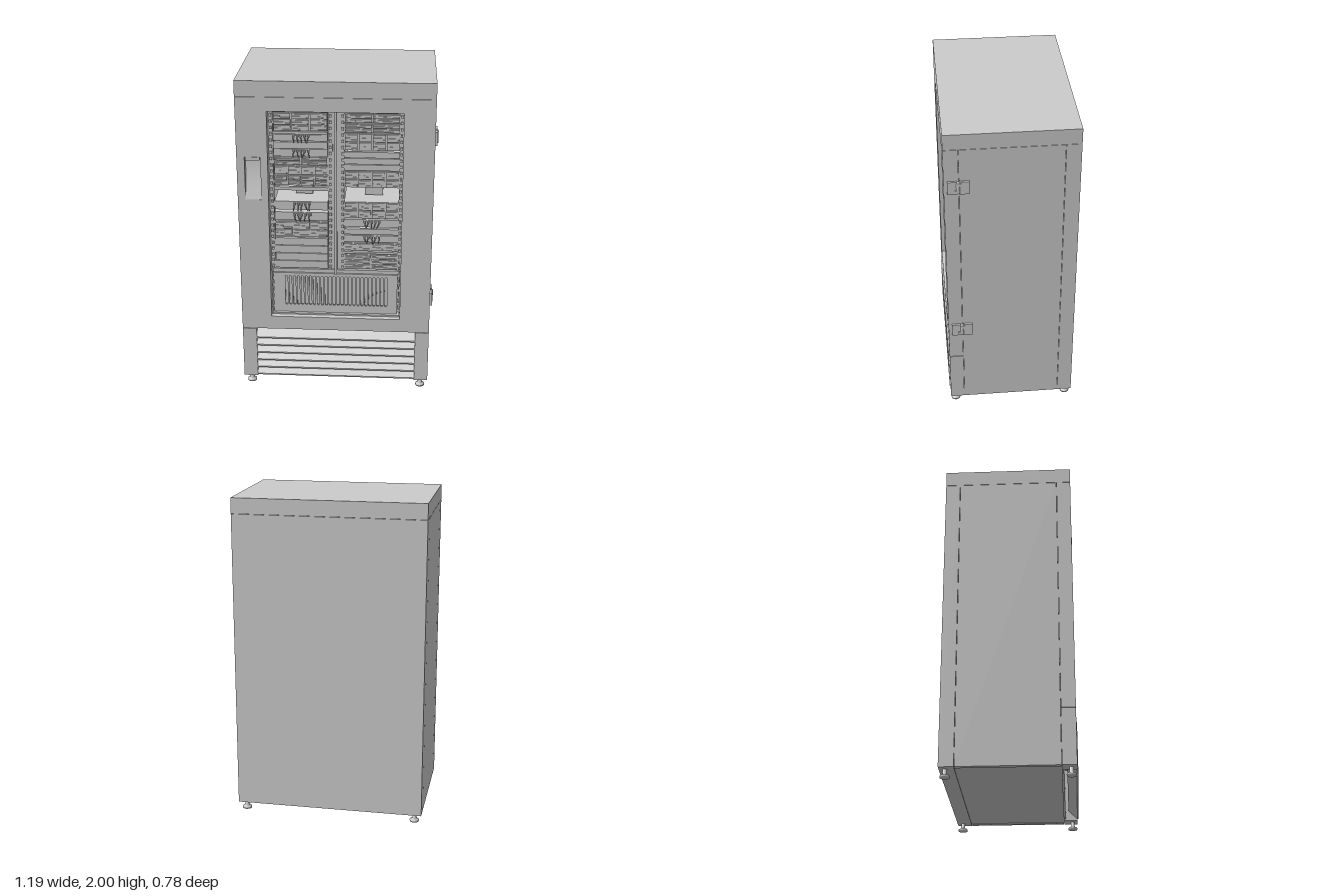
import * as THREE from 'three';

const material = new THREE.MeshStandardMaterial({ color: 0xcccccc, side: THREE.DoubleSide });

function add(parent, name, geometry, x = 0, y = 0, z = 0) {
  const mesh = new THREE.Mesh(geometry, material);
  mesh.name = name;
  mesh.position.set(x, y, z);
  parent.add(mesh);
  return mesh;
}

// Box given by its limits along each axis
function box(parent, name, x0, x1, y0, y1, z0, z1) {
  return add(parent, name, new THREE.BoxGeometry(x1 - x0, y1 - y0, z1 - z0),
    (x0 + x1) / 2, (y0 + y1) / 2, (z0 + z1) / 2);
}

function group(parent, name) {
  const g = new THREE.Group();
  g.name = name;
  parent.add(g);
  return g;
}

function outline(target, x0, x1, y0, y1) {
  target.moveTo(x0, y0);
  target.lineTo(x1, y0);
  target.lineTo(x1, y1);
  target.lineTo(x0, y1);
  target.closePath();
  return target;
}

// Vertical slot with rounded ends
function slot(x, y0, y1, r) {
  const p = new THREE.Path();
  p.absarc(x, y1 - r, r, 0, Math.PI, false);
  p.absarc(x, y0 + r, r, Math.PI, Math.PI * 2, false);
  p.closePath();
  return p;
}

let seed = 7;
function random() {
  seed = (seed * 16807) % 2147483647;
  return seed / 2147483647;
}

const FACE = 0.325; // front plane of the rack units

// Server: chassis with a grid of drive carriers and slim handles
function server(parent, x0, x1, y0, y1, cols, rows) {
  const g = group(parent, 'server');
  box(g, 'chassis', x0, x1, y0, y1, -0.2, FACE - 0.012);
  const w = (x1 - x0) / cols, h = (y1 - y0) / rows;
  for (let c = 0; c < cols; c++) for (let r = 0; r < rows; r++) {
    const a = x0 + c * w + 0.004, b = a + w - 0.008;
    const lo = y0 + r * h + 0.003, hi = lo + h - 0.006;
    box(g, 'driveCarrier', a, b, lo, hi, FACE - 0.012, FACE - 0.004);
    const split = a + (b - a) * (0.25 + random() * 0.5);
    box(g, 'carrierHandle', a + 0.004, split, lo + 0.3 * (hi - lo), lo + 0.55 * (hi - lo), FACE - 0.004, FACE + 0.003);
    box(g, 'carrierTrim', a + 0.004, b - 0.004, hi - 0.005, hi - 0.002, FACE - 0.004, FACE);
    box(g, 'carrierLatch', split + 0.006, b - 0.004, lo + 0.004, lo + 0.3 * (hi - lo), FACE - 0.004, FACE + 0.002);
  }
}

// Stack of plain blanking panels
function blanks(parent, x0, x1, y0, y1, count) {
  const h = (y1 - y0) / count;
  for (let i = 0; i < count; i++)
    box(parent, 'blankPanel', x0, x1, y0 + i * h + 0.002, y0 + (i + 1) * h - 0.002, FACE - 0.02, FACE);
}

// Network switch with a fan of patch cables
function patchSwitch(parent, x0, x1, y0, y1) {
  const g = group(parent, 'networkSwitch');
  const mid = (x0 + x1) / 2, y = (y0 + y1) / 2;
  box(g, 'switchChassis', x0, x1, y0 + 0.003, y1 - 0.003, -0.1, FACE - 0.008);
  box(g, 'portStrip', mid - 0.05, mid + 0.06, y + 0.004, y1 - 0.006, FACE - 0.008, FACE - 0.003);
  for (let i = 0; i < 5; i++) {
    const x = mid - 0.04 + i * 0.022, lean = (random() - 0.5) * 0.035;
    const curve = new THREE.CatmullRomCurve3([
      new THREE.Vector3(x, y + 0.015, FACE - 0.006), new THREE.Vector3(x, y + 0.012, FACE + 0.012),
      new THREE.Vector3(x + lean * 0.6, y - 0.012, FACE + 0.014), new THREE.Vector3(x + lean, y - 0.032, FACE - 0.006)]);
    add(g, 'patchCable', new THREE.TubeGeometry(curve, 10, 0.003, 6));
    box(g, 'cablePlug', x - 0.007, x + 0.007, y + 0.008, y + 0.021, FACE - 0.006, FACE + 0.008);
  }
}

// Mounting rail with cage nuts
function rail(parent, x0, x1) {
  const g = group(parent, 'mountingRail');
  box(g, 'railStrip', x0, x1, 0.78, 1.81, 0.29, FACE - 0.008);
  const m = (x0 + x1) / 2;
  for (let i = 0; i < 26; i++)
    box(g, 'cageNut', m - 0.007, m + 0.007, 0.795 + i * 0.039, 0.811 + i * 0.039, FACE - 0.008, FACE + 0.002);
}

export function createModel() {
  const model = new THREE.Group();
  model.name = 'serverCabinet';

  // Cabinet shell
  const shell = group(model, 'cabinet');
  box(shell, 'topCap', -0.597, 0.573, 1.905, 2, -0.39, 0.385);
  box(shell, 'backPanel', -0.597, 0.573, 0.05, 1.903, -0.39, -0.302);
  box(shell, 'rightSidePanel', -0.597, -0.567, 0.05, 1.903, -0.3, 0.298);
  box(shell, 'leftSidePanel', 0.543, 0.573, 0.05, 1.903, -0.3, 0.298);
  box(shell, 'basePlate', -0.567, 0.543, 0.055, 0.075, -0.302, 0.3);

  // Door with window opening and handle opening
  const door = group(model, 'door');
  const frame = outline(new THREE.Shape(), -0.597, 0.573, 0.393, 1.903);
  frame.holes.push(outline(new THREE.Path(), -0.412, 0.388, 0.48, 1.818));
  frame.holes.push(outline(new THREE.Path(), -0.55, -0.455, 1.265, 1.535));
  add(door, 'doorFrame', new THREE.ExtrudeGeometry(frame, { depth: 0.085, bevelEnabled: false }), 0, 0, 0.3);

  // Handle scoop: back slopes out toward the bottom
  const scoop = new THREE.PlaneGeometry(0.095, 0.27, 1, 8);
  const p = scoop.attributes.position;
  for (let i = 0; i < p.count; i++) {
    const t = p.getY(i) / 0.27 + 0.5;
    p.setZ(i, -0.055 * Math.sin(t * Math.PI / 2));
  }
  scoop.computeVertexNormals();
  add(door, 'handleScoop', scoop, -0.5025, 1.4, 0.384);
  box(door, 'handleLip', -0.545, -0.46, 1.515, 1.535, 0.365, 0.387);

  // Hinges: two leaves, a knuckle and a pin on the left side
  for (const y of [1.66, 0.617]) {
    const hinge = group(model, 'hinge');
    box(hinge, 'doorLeaf', 0.573, 0.586, y - 0.041, y + 0.041, 0.312, 0.365);
    box(hinge, 'bodyLeaf', 0.573, 0.586, y - 0.041, y + 0.041, 0.24, 0.296);
    add(hinge, 'knuckle', new THREE.CylinderGeometry(0.012, 0.012, 0.07, 16), 0.58, y, 0.304);
    box(hinge, 'upperLug', 0.58, 0.592, y + 0.012, y + 0.034, 0.285, 0.308);
    box(hinge, 'lowerLug', 0.58, 0.592, y - 0.034, y - 0.012, 0.3, 0.325);
  }

  // Rack structure
  const rack = group(model, 'rack');
  box(rack, 'centreMullion', -0.018, -0.004, 0.765, 1.815, 0.28, 0.35);
  box(rack, 'centreChannel', -0.03, 0.022, 0.765, 1.815, 0.27, 0.315);
  box(rack, 'topRail', -0.412, 0.388, 1.795, 1.818, 0.28, 0.32);
  box(rack, 'lowerRail', -0.405, 0.38, 0.762, 0.785, 0.28, 0.325);
  for (const [a, b] of [[-0.412, -0.386], [-0.058, -0.03], [0.018, 0.04], [0.367, 0.388]]) rail(rack, a, b);

  // Left-hand stack: [type, bottom, top, columns, rows]
  const stacks = [
    [-0.384, -0.06, [
      ['server', 1.68, 1.79, 3, 3], ['blank', 1.66, 1.68, 1], ['switch', 1.615, 1.66], ['blank', 1.57, 1.615, 1],
      ['switch', 1.52, 1.57], ['server', 1.465, 1.52, 2, 2], ['server', 1.405, 1.46, 4, 1], ['server', 1.335, 1.4, 4, 2],
      ['blank', 1.305, 1.33, 1], ['switch', 1.175, 1.235], ['switch', 1.105, 1.165],
      ['server', 1.0, 1.1, 3, 2], ['blank', 0.79, 0.995, 4]]],
    [0.038, 0.369, [
      ['server', 1.735, 1.79, 2, 2], ['server', 1.675, 1.73, 2, 2], ['server', 1.565, 1.67, 4, 2], ['blank', 1.44, 1.56, 3],
      ['server', 1.33, 1.435, 4, 2], ['server', 1.13, 1.235, 4, 2], ['switch', 1.07, 1.125], ['blank', 1.025, 1.065, 1],
      ['switch', 0.97, 1.02], ['server', 0.915, 0.965, 4, 1], ['blank', 0.895, 0.912, 1], ['server', 0.79, 0.89, 2, 3]]],
  ];
  for (const [x0, x1, units] of stacks) {
    const stack = group(rack, 'equipmentStack');
    for (const [type, y0, y1, cols, rows] of units) {
      if (type === 'server') server(stack, x0, x1, y0, y1, cols, rows);
      else if (type === 'blank') blanks(stack, x0, x1, y0, y1, cols);
      else patchSwitch(stack, x0, x1, y0, y1);
    }
    // Small device standing back in the open bay
    box(stack, 'shelfDevice', x0 + 0.12, x1 - 0.1, 1.24, 1.32, -0.1, 0.2);
  }

  // Slotted ventilation panel below the rack
  const vent = outline(new THREE.Shape(), -0.4, 0.37, 0.49, 0.76);
  for (let i = 0; i < 26; i++) vent.holes.push(slot(-0.32 + i * 0.0248, 0.54, 0.74, 0.0075));
  add(rack, 'ventPanel', new THREE.ExtrudeGeometry(vent, { depth: 0.012, bevelEnabled: false, curveSegments: 5 }), 0, 0, 0.32);
  box(rack, 'ventBacking', -0.41, 0.386, 0.48, 0.765, 0.27, 0.295);
  box(rack, 'ventSill', -0.408, 0.385, 0.48, 0.49, 0.3, 0.35);
  for (const x of [-0.404, 0.378]) for (let i = 0; i < 5; i++)
    box(rack, 'ventClip', x - 0.004, x + 0.004, 0.52 + i * 0.048, 0.535 + i * 0.048, 0.295, 0.332);

  // Plinth with angled louvre slats
  const plinth = group(model, 'plinth');
  box(plinth, 'rightPost', -0.597, -0.51, 0.05, 0.389, 0.3, 0.385);
  box(plinth, 'leftPost', 0.488, 0.573, 0.05, 0.389, 0.3, 0.385);
  box(plinth, 'plinthBack', -0.51, 0.488, 0.06, 0.389, 0.3, 0.31);
  const slat = new THREE.Shape([[0.39, 0], [0.39, 0.008], [0.335, 0.062], [0.328, 0.055], [0.383, 0]]
    .map(([z, y]) => new THREE.Vector2(z, y)));
  const slatGeometry = new THREE.ExtrudeGeometry(slat, { depth: 0.998, bevelEnabled: false });
  slatGeometry.rotateY(-Math.PI / 2);
  for (let i = 0; i < 6; i++) add(plinth, 'louvreSlat', slatGeometry, 0.488, 0.06 + i * 0.053, 0);

  // Levelling feet
  const foot = new THREE.LatheGeometry([[0, 0], [0.028, 0], [0.029, 0.01], [0.024, 0.015], [0.013, 0.02], [0.012, 0.056], [0, 0.056]]
    .map(([r, y]) => new THREE.Vector2(r, y)), 20);
  for (const x of [-0.551, 0.527]) for (const z of [-0.355, 0.353]) add(model, 'levellingFoot', foot, x, 0, z);

  return model;
}
